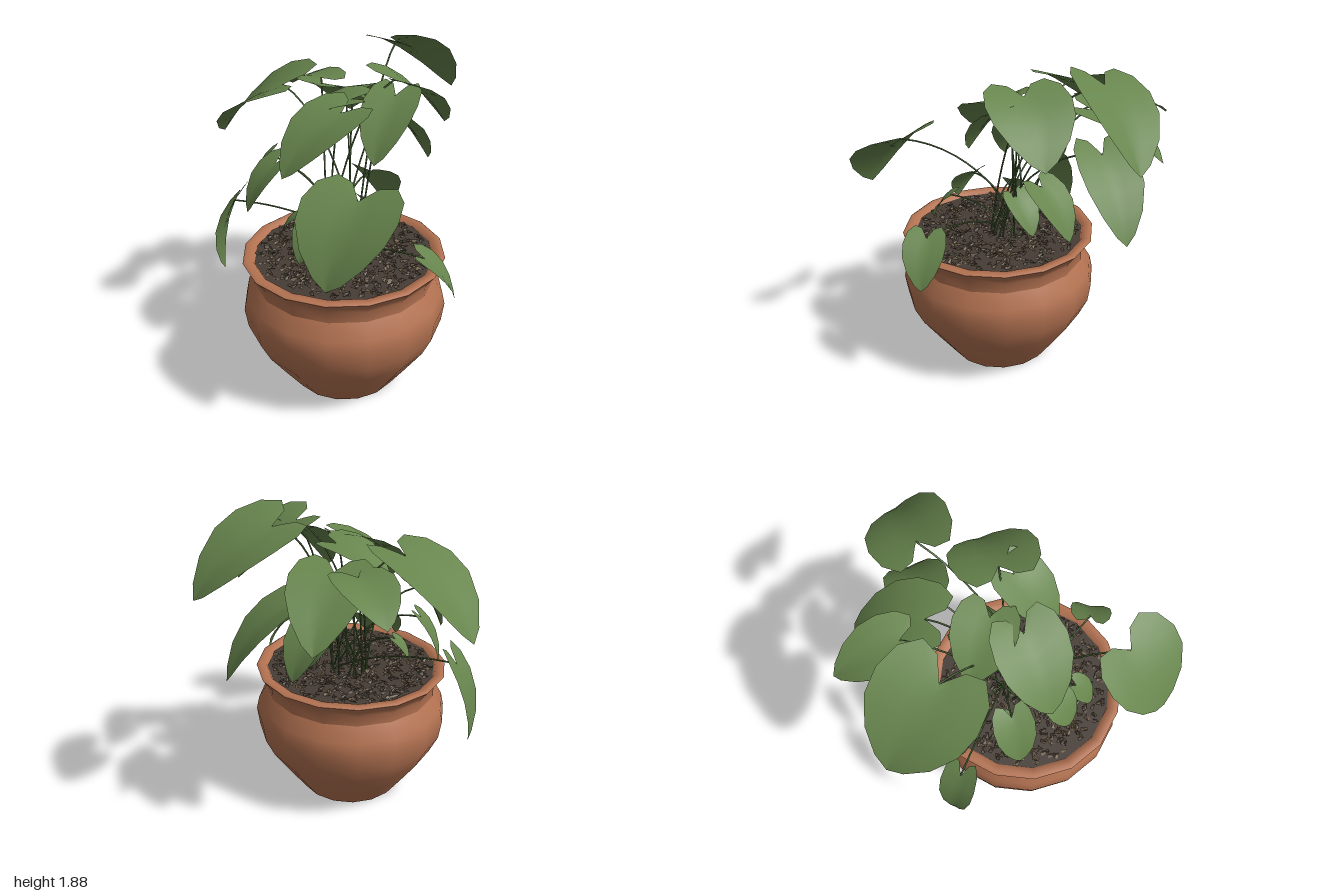
import * as THREE from 'three';
import { mergeGeometries } from 'three/addons/utils/BufferGeometryUtils.js';

// Half of a heart outline: [side, along, matching point on the midrib]
const HEART = [
  [0.03, 0, 0], [0.28, -0.19, 0], [0.62, -0.24, 0.04], [0.9, -0.1, 0.12],
  [1, 0.14, 0.26], [0.93, 0.4, 0.44], [0.66, 0.68, 0.66], [0.3, 0.9, 0.85], [0, 1, 1],
];
const ACROSS = 3;

// Grown leaves: stalk end, tip, half width, roll about the midrib
const LEAVES = {
  topBackLeaf: [[-0.2, 1.8, -0.38], [-0.16, 1.47, -0.78], 0.22, -0.26],
  highBackLeaf: [[0.11, 1.71, -0.12], [0.16, 1.42, -0.44], 0.23],
  highSideLeaf: [[0.17, 1.65, -0.08], [0.3, 1.36, 0.16], 0.15],
  lowBackLeaf: [[-0.24, 1.4, -0.33], [-0.2, 1.02, -0.65], 0.17],
  frontLeftLeaf: [[0.57, 1.36, 0.46], [0.68, 1.02, 0.73], 0.26],
  frontRightLeaf: [[-0.4, 1.62, 0.25], [-0.8, 1.27, 0.42], 0.29, -0.16],
  sideRightLeaf: [[-0.47, 1.58, -0.05], [-0.83, 1.45, -0.08], 0.16],
  backRightLeaf: [[-0.31, 1.56, -0.1], [-0.62, 1.28, -0.36], 0.21],
  middleRightLeaf: [[-0.03, 1.6, 0.05], [-0.25, 1.42, 0.26], 0.17],
  middleFrontLeaf: [[0.08, 1.59, 0.2], [0.06, 1.31, 0.56], 0.2, -0.1],
  hangingRightLeaf: [[-0.47, 0.98, 0.56], [-0.55, 0.52, 0.62], 0.1],
  hangingLeftLeaf: [[0.61, 0.93, 0.07], [0.71, 0.69, -0.06], 0.12],
  lowerFrontLeaf: [[-0.13, 1.31, 0.48], [-0.16, 1.06, 0.65], 0.11],
  lowerRightLeaf: [[-0.37, 1.25, 0.38], [-0.44, 1, 0.46], 0.07],
};

// Young leaves lean out from the plant's heart: heading, reach, height, half width
const YOUNG = [
  [1.3, 0.24, 1.08, 0.1], [0.75, 0.3, 0.98, 0.08], [2.3, 0.27, 0.99, 0.06],
  [-2, 0.3, 1.15, 0.14], [-1.8, 0.15, 1.06, 0.1],
];

// Heart-shaped blade, folded along the midrib and arched from base to tip
function leafGeometry(base, tip, half, roll = 0) {
  const f = tip.clone().sub(base);
  const s = new THREE.Vector3(f.z, 0, -f.x).normalize();
  s.applyAxisAngle(f.clone().normalize(), roll);
  const n = new THREE.Vector3().crossVectors(f, s).normalize();
  const pos = [], idx = [], cols = 2 * ACROSS + 1;
  HEART.forEach(([u, v, rib], i) => {
    for (let j = 0; j < cols; j++) {
      const t = j / ACROSS - 1, k = Math.abs(t);
      const x = t * u * half, y = rib + (v - rib) * k;
      const lift = 0.15 * Math.abs(x) + 0.35 * f.length() * y * (1 - y);
      const p = base.clone().addScaledVector(f, y).addScaledVector(s, x).addScaledVector(n, lift);
      pos.push(p.x, p.y, p.z);
      if (i < HEART.length - 1 && j < cols - 1) {
        const a = i * cols + j, c = a + cols;
        idx.push(a, c, a + 1, c, c + 1, a + 1);
      }
    }
  });
  const g = new THREE.BufferGeometry();
  g.setAttribute('position', new THREE.Float32BufferAttribute(pos, 3));
  g.setIndex(idx);
  g.computeVertexNormals();
  return g;
}

function seeded(seed) {
  return () => (seed = (seed * 16807) % 2147483647) / 2147483647;
}

function material(name, color, side = THREE.FrontSide) {
  const m = new THREE.MeshStandardMaterial({ color, side });
  m.name = name;
  return m;
}

function add(parent, name, geometry, mat) {
  const mesh = new THREE.Mesh(geometry, mat);
  mesh.name = name;
  parent.add(mesh);
  return mesh;
}

function lathe(points) {
  return new THREE.LatheGeometry(points.map(([r, y]) => new THREE.Vector2(r, y)), 16);
}

export function createModel() {
  const model = new THREE.Group();
  model.name = 'pottedPlant';
  const clay = material('terracotta', 0xb37251, THREE.DoubleSide);
  const earth = material('soil', 0x453c35);
  const barks = [material('lightBark', 0x70604b), material('darkBark', 0x52473a)];
  const green = material('leafGreen', 0x67854d, THREE.DoubleSide);
  const stalkGreen = material('stalkGreen', 0x4f6a3b);

  // Pot: round belly, straight neck and flared rim
  const pot = new THREE.Group();
  pot.name = 'pot';
  pot.position.set(0.105, 0, 0.215);
  model.add(pot);
  add(pot, 'potBelly', lathe([[0.3, 0], [0.4, 0.14], [0.5, 0.285], [0.55, 0.39], [0.566, 0.5], [0.55, 0.575], [0.5, 0.66]]), clay);
  add(pot, 'potNeck', lathe([[0.5, 0.655], [0.502, 0.72], [0.525, 0.755], [0.557, 0.795]]), clay);
  add(pot, 'potRim', lathe([[0.557, 0.795], [0.54, 0.806], [0.5, 0.8], [0.48, 0.765]]), clay);
  const bottom = add(pot, 'potBottom', new THREE.CircleGeometry(0.3, 16), clay);
  bottom.rotation.x = Math.PI / 2;

  // Soil with scattered bark chips
  const soil = add(pot, 'soil', new THREE.CircleGeometry(0.492, 16), earth);
  soil.rotation.x = -Math.PI / 2;
  soil.position.y = 0.785;
  const rnd = seeded(4711);
  for (const bark of barks) {
    const chips = [];
    for (let i = 0; i < 310; i++) {
      const r = 0.465 * Math.sqrt(rnd()), a = rnd() * Math.PI * 2;
      const g = new THREE.TetrahedronGeometry(1);
      g.scale(0.022 + 0.015 * rnd(), 0.009, 0.011 + 0.007 * rnd());
      g.rotateZ((rnd() - 0.5) * 0.7);
      g.rotateY(rnd() * Math.PI * 2);
      g.translate(r * Math.cos(a), 0.789 + 0.009 * rnd(), r * Math.sin(a));
      chips.push(g);
    }
    add(pot, bark.name + 'Chips', mergeGeometries(chips), bark);
  }

  // Each leaf sits on a thin arching stalk that rises from the soil
  let count = 0;
  function growLeaf(name, base, tip, half, roll) {
    add(model, name, leafGeometry(base, tip, half, roll), green);
    const a = 2.4 * count++;
    const root = new THREE.Vector3(0.06 + 0.1 * Math.cos(a), 0.78, 0.18 + 0.1 * Math.sin(a));
    const bend = root.clone().lerp(base, 0.4);
    bend.y = root.y + (base.y - root.y) * 0.85 + 0.04;
    const path = new THREE.QuadraticBezierCurve3(root, bend, base);
    add(model, name + 'Stalk', new THREE.TubeGeometry(path, 12, 0.005, 5), stalkGreen);
  }
  for (const [name, [base, tip, half, roll]] of Object.entries(LEAVES)) {
    growLeaf(name, new THREE.Vector3(...base), new THREE.Vector3(...tip), half, roll);
  }
  YOUNG.forEach(([heading, reach, height, half], i) => {
    const out = new THREE.Vector3(Math.cos(heading), 0, Math.sin(heading));
    const base = new THREE.Vector3(0.1, height, 0.2).addScaledVector(out, reach);
    const tip = base.clone().addScaledVector(out, 1.4 * half);
    tip.y -= 2 * half;
    growLeaf('youngLeaf' + (i + 1), base, tip, half);
  });
  return model;
}
